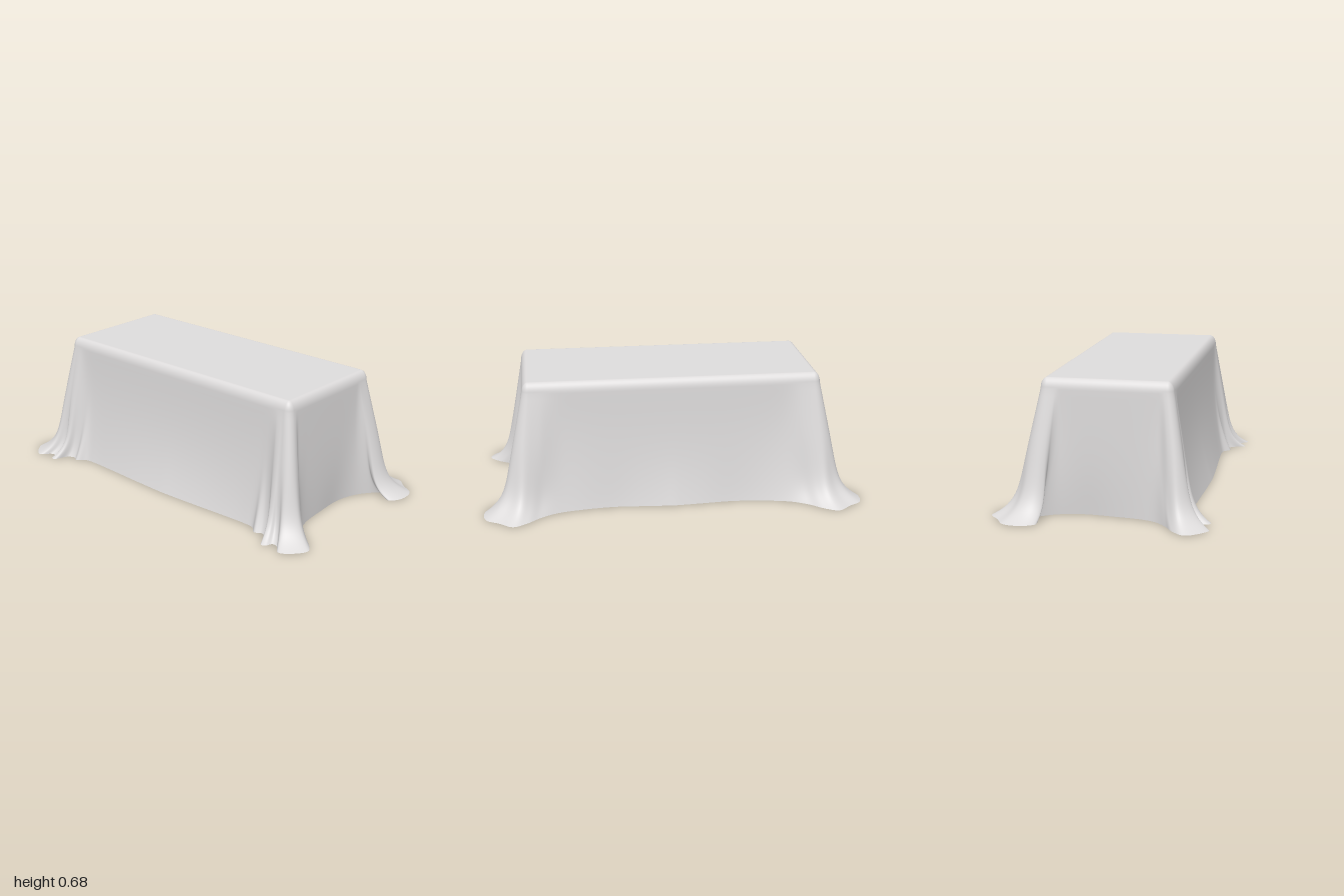
import * as THREE from 'three';

// Core rectangle of the table top; the cloth rounds over it by EDGE sideways and DROP downwards.
const HALF_X = 0.745, FRONT_Z = 0.31, BACK_Z = -0.28, EDGE = 0.035, DROP = 0.055, HEIGHT = 0.683;
const ARC = EDGE * Math.PI / 2, DEPTH = FRONT_Z - BACK_Z;

// Hem on the ground: [x, z, distance along the table edge it hangs from].
const frontHem = [
  [0, 0.435, 0], [0.2, 0.428, 0.2], [0.4, 0.418, 0.4], [0.56, 0.413, 0.55], [0.62, 0.42, 0.61],
  [0.66, 0.455, 0.64], [0.695, 0.438, 0.665], [0.735, 0.458, 0.69], [0.765, 0.53, 0.71],
  [0.79, 0.525, 0.725], [0.805, 0.49, 0.735], [0.835, 0.492, 0.745], [0.88, 0.538, 0.76],
  [0.94, 0.5, 0.775], [0.98, 0.43, 0.79], [0.93, 0.365, 0.81], [0.87, 0.325, 0.83],
  [0.815, 0.27, 0.86], [0.785, 0.2, 0.91],
];
const backHem = [
  [0.765, 0.05, 1.05], [0.755, -0.1, 1.19], [0.77, -0.19, 1.26], [0.8, -0.26, 1.305],
  [0.85, -0.325, 1.325], [0.885, -0.345, 1.335], [0.92, -0.315, 1.345], [0.955, -0.29, 1.36],
  [0.997, -0.355, 1.38], [0.985, -0.45, 1.405], [0.92, -0.495, 1.425], [0.85, -0.547, 1.445],
  [0.78, -0.515, 1.475], [0.71, -0.455, 1.53], [0.62, -0.405, 1.61], [0.48, -0.375, 1.73],
  [0.32, -0.36, 1.88], [0.15, -0.37, 2.04], [0, -0.38, 2 * HALF_X + DEPTH + 2 * ARC],
];

// Core point and outward direction at distance u along the right half of the table edge.
function tableEdge(u) {
  if (u < HALF_X) return { x: Math.max(u, 0), z: FRONT_Z, a: 0 };
  u -= HALF_X;
  if (u < ARC) return { x: HALF_X, z: FRONT_Z, a: u / EDGE };
  u -= ARC;
  if (u < DEPTH) return { x: HALF_X, z: FRONT_Z - u, a: Math.PI / 2 };
  u -= DEPTH;
  if (u < ARC) return { x: HALF_X, z: BACK_Z, a: Math.PI / 2 + u / EDGE };
  return { x: Math.max(HALF_X - (u - ARC), 0), z: BACK_Z, a: Math.PI };
}

// Strands run from the table top to the hem; the left and right halves mirror each other.
// dx, dz is the spread from edge to hem; sx, sz is that spread without the small folds.
function makeStrands(count) {
  const points = [...frontHem, ...backHem].map(([x, z, u]) => new THREE.Vector3(x, u, z));
  const curve = new THREE.CatmullRomCurve3(points, false, 'centripetal');
  const half = [];
  for (let i = 0; i <= count; i++) {
    const p = curve.getPoint(i / count);
    const e = tableEdge(p.y);
    const nx = Math.sin(e.a), nz = Math.cos(e.a);
    const dx = p.x - e.x - nx * EDGE, dz = p.z - e.z - nz * EDGE;
    half.push({ x: e.x, z: e.z, nx, nz, dx, dz });
  }
  const mirrored = half.slice(1, -1).reverse()
    .map((s) => ({ ...s, x: -s.x, nx: -s.nx, dx: -s.dx }));
  const all = [...half, ...mirrored];
  const reach = 13;
  all.forEach((s, i) => {
    let sx = 0, sz = 0, total = 0;
    for (let k = -reach; k <= reach; k++) {
      const other = all[(i + k + all.length) % all.length];
      const weight = 1 - Math.abs(k) / (reach + 1);
      sx += other.dx * weight;
      sz += other.dz * weight;
      total += weight;
    }
    s.sx = sx / total;
    s.sz = sz / total;
    s.flare = THREE.MathUtils.smoothstep(Math.hypot(s.sx, s.sz), 0.08, 0.17);
  });
  return all;
}

function makeCloth() {
  const strands = makeStrands(216), n = strands.length;
  const positions = [], indices = [];
  const addRing = (place) => strands.forEach((s) => positions.push(...place(s)));

  // Flat top: centre ring
  addRing(() => [0, HEIGHT, (FRONT_Z + BACK_Z) / 2]);

  // Rounded edge
  const bends = 8;
  for (let j = 0; j <= bends; j++) {
    const angle = j / bends * Math.PI / 2;
    const out = EDGE * Math.sin(angle), drop = DROP * (1 - Math.cos(angle));
    addRing((s) => [s.x + s.nx * out, HEIGHT - drop, s.z + s.nz * out]);
  }

  // Hanging cloth: gently curved walls, corners that sweep outwards, folds that deepen downwards
  const rows = 30, startY = HEIGHT - DROP;
  for (let j = 1; j <= rows; j++) {
    const t = 1 - (1 - j / rows) ** 1.6;
    const wall = 0.1 * t + 0.9 * t ** 2.5;
    const sweep = 0.58 * t + 0.42 * t ** 12;
    const detail = THREE.MathUtils.smoothstep(t, 0.35, 1);
    addRing((s) => {
      const f = THREE.MathUtils.lerp(wall, sweep, s.flare);
      const boost = 1 + 0.15 * s.flare;
      const dx = THREE.MathUtils.lerp(s.sx * boost, s.dx, detail);
      const dz = THREE.MathUtils.lerp(s.sz * boost, s.dz, detail);
      return [s.x + s.nx * EDGE + dx * f, startY * (1 - t), s.z + s.nz * EDGE + dz * f];
    });
  }

  const rings = positions.length / 3 / n;
  for (let j = 0; j < rings - 1; j++) {
    for (let i = 0; i < n; i++) {
      const k = (i + 1) % n;
      const a = j * n + i, b = a + n, c = (j + 1) * n + k, d = j * n + k;
      indices.push(a, b, c);
      if (j > 0) indices.push(a, c, d);
    }
  }
  const geometry = new THREE.BufferGeometry();
  geometry.setAttribute('position', new THREE.Float32BufferAttribute(positions, 3));
  geometry.setIndex(indices);
  geometry.computeVertexNormals();
  // The top and its border face straight up
  for (let i = 0; i < 2 * n; i++) geometry.attributes.normal.setXYZ(i, 0, 1, 0);
  return geometry;
}

export function createModel() {
  const group = new THREE.Group();
  group.name = 'drapedTable';
  const fabric = new THREE.MeshStandardMaterial({ color: 0xdddbdb, side: THREE.DoubleSide });
  fabric.name = 'light grey fabric';
  const cloth = new THREE.Mesh(makeCloth(), fabric);
  cloth.name = 'tablecloth';
  group.add(cloth);
  return group;
}
